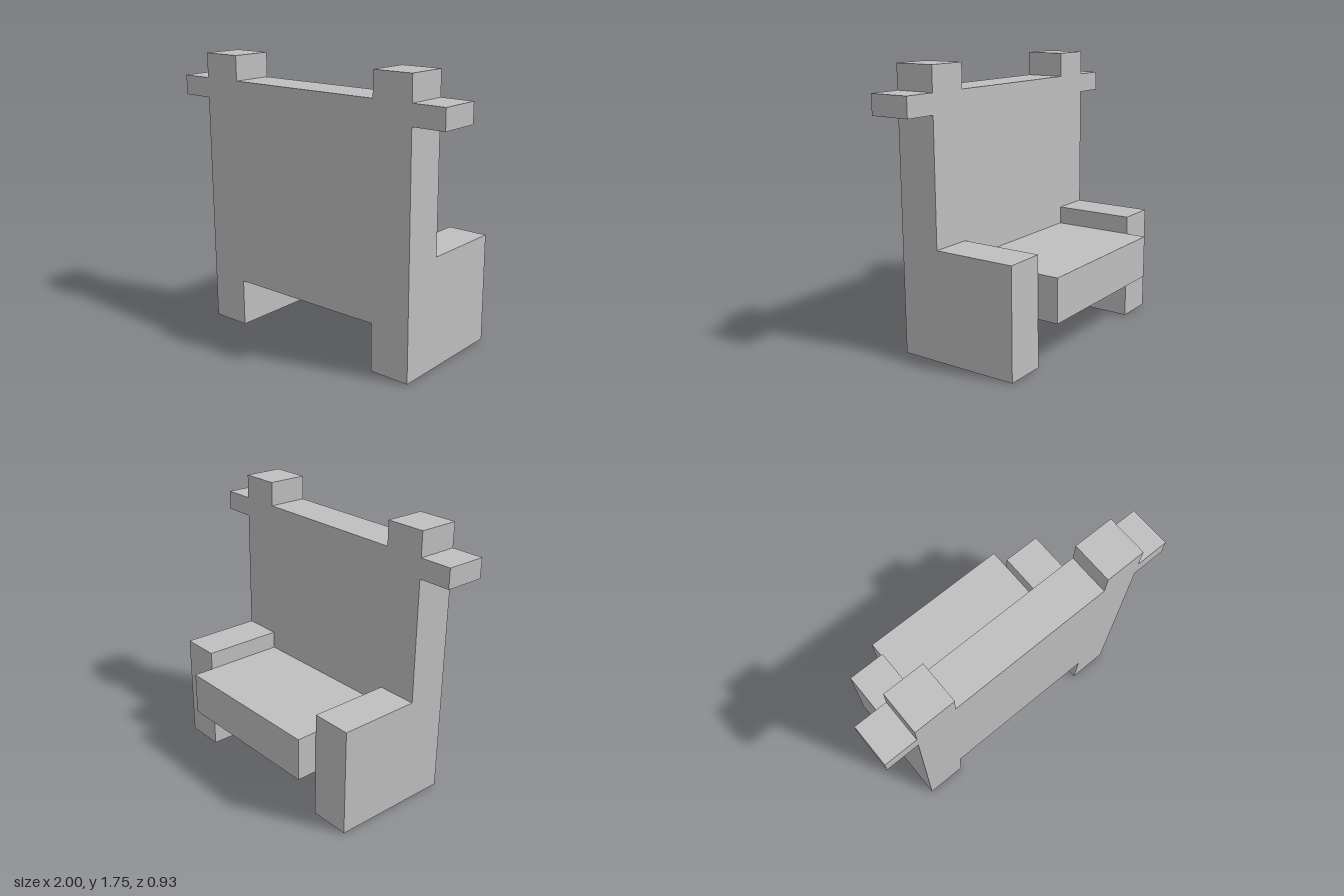
import * as THREE from 'three';

export function createModel() {
  const model = new THREE.Group();
  const grey = new THREE.MeshStandardMaterial({ color: 0xbfbfbf, side: THREE.DoubleSide });
  grey.name = 'plain grey';

  // Key positions
  const inner = 0.53, outer = 0.79, tip = 1;
  const frontZ = 0.463, backZ = 0.2, armZ = -0.33, seatZ = -0.463;
  const legGap = 0.3, seatTop = 0.575, armTop = 0.69;
  const hornLow = 1.475, beamTop = 1.6, postTop = 1.755;

  const add = (name, geometry) => {
    const mesh = new THREE.Mesh(geometry, grey);
    mesh.name = name;
    model.add(mesh);
    return mesh;
  };

  // Mirror a half outline across x = 0, giving a path from -x to +x
  const mirrored = half => half.map(([x, y]) => [-x, y]).reverse();
  const whole = half => [...mirrored(half), ...half];

  // Flat panel in the xy plane, facing +z or -z
  const panel = (name, points, z, facing = 1) => {
    const shape = new THREE.Shape(points.map(([x, y]) => new THREE.Vector2(x * facing, y)));
    const mesh = add(name, new THREE.ShapeGeometry(shape));
    mesh.position.z = z;
    if (facing < 0) mesh.rotation.y = Math.PI;
  };

  // Wall swept along z over an open path that runs clockwise seen from +z
  const wall = (name, path, z0, z1) => {
    const v = [];
    for (let i = 0; i < path.length - 1; i++) {
      const [ax, ay] = path[i], [bx, by] = path[i + 1];
      v.push(ax, ay, z0, ax, ay, z1, bx, by, z1, ax, ay, z0, bx, by, z1, bx, by, z0);
    }
    const g = new THREE.BufferGeometry();
    g.setAttribute('position', new THREE.Float32BufferAttribute(v, 3));
    g.computeVertexNormals();
    add(name, g);
  };

  // Backrest: posts, side pegs and top beam; the underside stays open
  const crown = [
    [inner, beamTop], [inner, postTop], [outer, postTop], [outer, beamTop],
    [tip, beamTop], [tip, hornLow], [outer, hornLow],
  ];
  const rim = whole([...crown, [outer, 0]]);
  panel('frontPanel', whole([...crown, [outer, 0], [inner, 0], [inner, legGap]]), frontZ);
  panel('backrestPanel', whole([...crown, [outer, armTop], [inner, armTop], [inner, seatTop]]), backZ, -1);
  wall('backrestRim', rim, backZ, frontZ);

  // Seat: hollow below, sides showing only past the arms
  const seatFace = whole([[inner, seatTop], [inner, legGap]]);
  panel('seatEdge', seatFace, seatZ, -1);
  wall('seatLip', seatFace, seatZ, armZ);
  wall('seatTop', [[-inner, seatTop], [inner, seatTop]], armZ, backZ);

  // Arms: hollow shells, open underneath and towards the seat's inside
  const armPath = [[inner, seatTop], [inner, armTop], [outer, armTop], [outer, 0]];
  const legPath = [[inner, 0], [inner, legGap]];
  const armEnd = [[inner, 0], [inner, armTop], [outer, armTop], [outer, 0]];
  for (const [side, flip] of [['left', p => p], ['right', mirrored]]) {
    wall(side + 'Arm', flip(armPath), armZ, backZ);
    wall(side + 'LegInside', flip(legPath), armZ, frontZ);
    panel(side + 'ArmEnd', flip(armEnd), armZ, -1);
  }

  return model;
}
